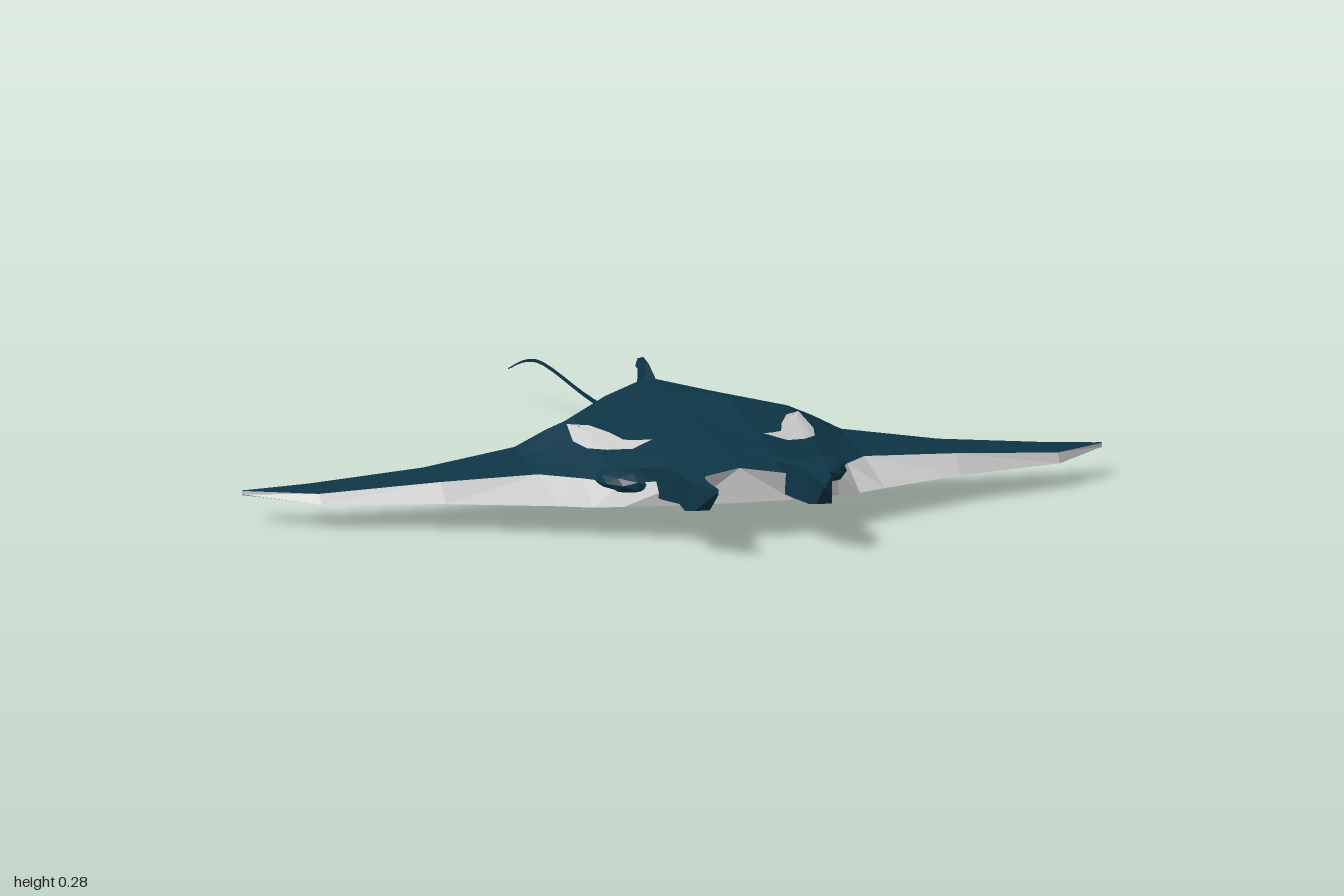
import * as THREE from 'three';

const material = (color) => new THREE.MeshStandardMaterial({ color, flatShading: true, side: THREE.DoubleSide });
const DARK = material(0x0e3546);
const PALE = material(0xcccccc);
const mix = THREE.MathUtils.lerp;

// Skin a grid of [x, y, z] rows; side = -1 mirrors it across x = 0.
function skin(rows, side = 1) {
  const pos = [];
  const put = (...pts) => pts.forEach(([x, y, z]) => pos.push(x * side, y, z));
  const tri = (a, b, c) => (side > 0 ? put(a, b, c) : put(a, c, b));
  for (let i = 0; i < rows.length - 1; i++) {
    for (let j = 0; j < rows[i].length - 1; j++) {
      const a = rows[i][j], b = rows[i + 1][j], c = rows[i][j + 1], d = rows[i + 1][j + 1];
      tri(a, b, c);
      tri(b, d, c);
    }
  }
  const g = new THREE.BufferGeometry();
  g.setAttribute('position', new THREE.Float32BufferAttribute(pos, 3));
  g.computeVertexNormals();
  return g;
}

// One wing section: a humped upper profile and a sagging lower one, both front to back.
function section(x, zLow, zTop, zTrail, yLow, yTop, crown, shoulder, yTrail, keel) {
  const top = [[0, yTop], [0.22, mix(yTop, crown, 0.3)], [0.45, mix(yTop, crown, 0.63)],
    [0.66, mix(yTop, crown, 0.95)], [0.84, shoulder], [1, yTrail]];
  const low = [[0, yLow], [0.22, mix(yLow, keel, 0.33)], [0.4, mix(yLow, keel, 0.65)],
    [0.54, keel], [0.75, mix(keel, yTrail, 0.1)], [1, yTrail - 0.01]];
  const along = (zLead, pts) => pts.map(([t, y]) => [x, y, mix(zLead, zTrail, t)]);
  return { top: along(zTop, top), low: along(zLow, low) };
}

// Sections from the spine to the wing tip
const SECTIONS = [
  section(0, 0.77, 0.75, -0.08, 0.09, 0.165, 0.245, 0.247, 0.12, 0.01),
  section(0.12, 0.77, 0.78, 0, 0.09, 0.15, 0.238, 0.224, 0.115, 0.038),
  section(0.25, 0.69, 0.67, 0.11, 0.08, 0.13, 0.218, 0.18, 0.11, 0.052),
  section(0.31, 0.655, 0.56, 0.15, 0.075, 0.125, 0.19, 0.15, 0.105, 0.055),
  section(0.38, 0.615, 0.46, 0.19, 0.075, 0.12, 0.152, 0.13, 0.1, 0.056),
  section(0.6, 0.48, 0.435, 0.235, 0.068, 0.11, 0.12, 0.105, 0.09, 0.058),
  section(0.86, 0.38, 0.365, 0.245, 0.063, 0.085, 0.095, 0.088, 0.08, 0.06),
  section(1, 0.245, 0.245, 0.235, 0.07, 0.078, 0.078, 0.078, 0.077, 0.067),
];

// Outline of the pale shoulder patch, seen from above
const PATCH = [[0.27, 0.32], [0.23, 0.36], [0.2, 0.42], [0.18, 0.48], [0.13, 0.51],
  [0.18, 0.53], [0.23, 0.5], [0.265, 0.46], [0.28, 0.4], [0.27, 0.32]];

export function createModel() {
  const model = new THREE.Group();
  const add = (name, geometry, mat) => {
    const mesh = new THREE.Mesh(geometry, mat);
    mesh.name = name;
    model.add(mesh);
    return mesh;
  };
  const ray = new THREE.Raycaster();
  const down = new THREE.Vector3(0, -1, 0);

  for (const side of [1, -1]) {
    const label = side > 0 ? 'left' : 'right';

    // Dark back
    const back = add(label + 'Back', skin(SECTIONS.map((s) => s.top), side), DARK);

    // Pale belly with the closing trailing edge
    add(label + 'Belly', skin(SECTIONS.map((s) => [s.top[5], ...s.low.slice().reverse()]), side), PALE);

    // Pale leading edge, running into the mouth at the centre
    add(label + 'LeadingEdge', skin(SECTIONS.map((s) => [s.low[0], s.top[0]]), side), PALE);

    // Shoulder patch draped over the back in rings
    const drape = (x, z) => {
      ray.set(new THREE.Vector3(x * side, 1, z), down);
      return [x, ray.intersectObject(back)[0].point.y + 0.004, z];
    };
    const rings = [0, 0.35, 0.7, 1].map((k) => PATCH.map(
      ([x, z]) => drape(mix(0.225, x, k), mix(0.44, z, k))));
    add(label + 'ShoulderPatch', skin(rings, side), PALE);

    // Forward-pointing head fin: [z, centre x, centre y, width, height]
    const finRows = [[0.66, 0.15, 0.135, 0.1, 0.05], [0.75, 0.14, 0.138, 0.08, 0.07],
      [0.82, 0.132, 0.14, 0.06, 0.07], [0.88, 0.144, 0.136, 0.045, 0.072],
      [0.93, 0.142, 0.138, 0.036, 0.06], [0.99, 0.126, 0.16, 0.008, 0.012]]
      .map(([z, x, y, w, h]) => [[-1, 1], [1, 1], [1, -1], [-1, -1], [-1, 1]]
        .map(([u, v]) => [x + u * w / 2, y + v * h / 2, z]));
    add(label + 'HeadFin', skin(finRows, side), DARK);

    // Faceted eye lobe
    const lobe = add(label + 'EyeLobe', new THREE.IcosahedronGeometry(1, 1), DARK);
    lobe.scale.set(0.06, 0.03, 0.09);
    lobe.position.set(0.225 * side, 0.127, 0.63);
    lobe.rotation.y = -0.4 * side;

    // Drooping pelvic fin beside the tail
    add(label + 'PelvicFin', skin([
      [[0.02, 0.105, 0.02], [0.02, 0.01, -0.11]],
      [[0.12, 0.1, 0.06], [0.06, 0.05, -0.06]],
      [[0.25, 0.1, 0.13], [0.25, 0.095, 0.1]],
    ], side), PALE);
  }

  // Dorsal fin, swept backwards and thinned towards its top
  const fin = new THREE.Shape([[-0.1, 0.23], [-0.07, 0.255], [-0.05, 0.278], [-0.02, 0.287],
    [0.012, 0.278], [0.012, 0.262], [-0.01, 0.258], [-0.02, 0.2]].map((p) => new THREE.Vector2(...p)));
  const finGeo = new THREE.ExtrudeGeometry(fin, { depth: 0.02, bevelEnabled: false });
  finGeo.translate(0, 0, -0.01).rotateY(Math.PI / 2);
  const p = finGeo.attributes.position;
  for (let i = 0; i < p.count; i++) {
    p.setX(i, p.getX(i) * THREE.MathUtils.clamp((0.29 - p.getY(i)) / 0.035, 0.1, 1.5));
  }
  finGeo.computeVertexNormals();
  add('dorsalFin', finGeo, DARK);

  // Whip tail: a short solid root and a thin upright ribbon
  const root = add('tailRoot', new THREE.ConeGeometry(0.014, 0.1, 5), DARK);
  root.rotation.x = -Math.PI / 2;
  root.position.set(0, 0.115, -0.08);
  const whip = new THREE.CatmullRomCurve3([[0.12, 0], [0.118, -0.1], [0.122, -0.4],
    [0.137, -0.76], [0.118, -0.88], [0.08, -1]].map(([y, z]) => new THREE.Vector3(0, y, z)));
  const ribbon = whip.getPoints(24).map((v, i) => {
    const half = 0.0065 * (1 - i / 24) + 0.0015;
    return [[0, v.y + half, v.z], [0, v.y - half, v.z]];
  });
  add('tailWhip', skin(ribbon), DARK);

  return model;
}
